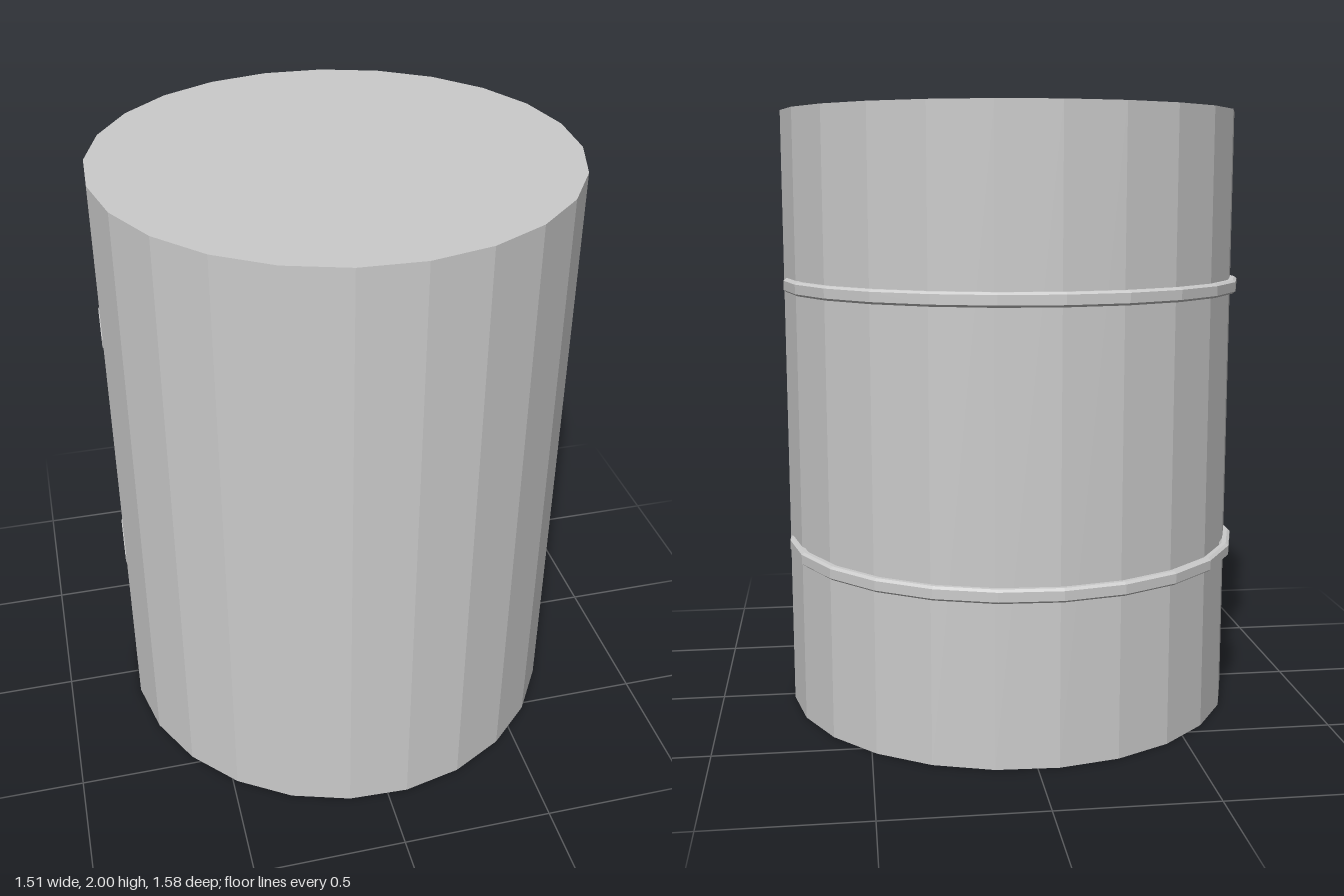
import * as THREE from 'three';

const SIDES = 24;
const PHASE = THREE.MathUtils.degToRad(5.1);

export function createModel() {
  const model = new THREE.Group();
  model.name = 'barrel';
  const material = new THREE.MeshStandardMaterial({ color: 0xcccccc, flatShading: true });

  // Plain faceted drum, set slightly forward
  const drum = new THREE.Mesh(
    new THREE.CylinderGeometry(0.757, 0.757, 2, SIDES, 1, false, PHASE), material);
  drum.name = 'drum';
  drum.position.set(0, 1, 0.036);
  model.add(drum);

  // Bevelled hoops, set back so that they stand clear of the drum's rear
  const profile = [
    [0.757, -0.015], [0.757, 0.015], [0.748, 0.022], [0.734, 0.022],
    [0.726, 0.015], [0.726, -0.015], [0.734, -0.022], [0.748, -0.022], [0.757, -0.015],
  ].map(([r, y]) => new THREE.Vector2(r, y));
  const hoopGeometry = new THREE.LatheGeometry(profile, SIDES, PHASE);
  for (const [name, y] of [['lowerHoop', 0.568], ['upperHoop', 1.438]]) {
    const hoop = new THREE.Mesh(hoopGeometry, material);
    hoop.name = name;
    hoop.position.set(0, y, -0.039);
    model.add(hoop);
  }
  return model;
}
